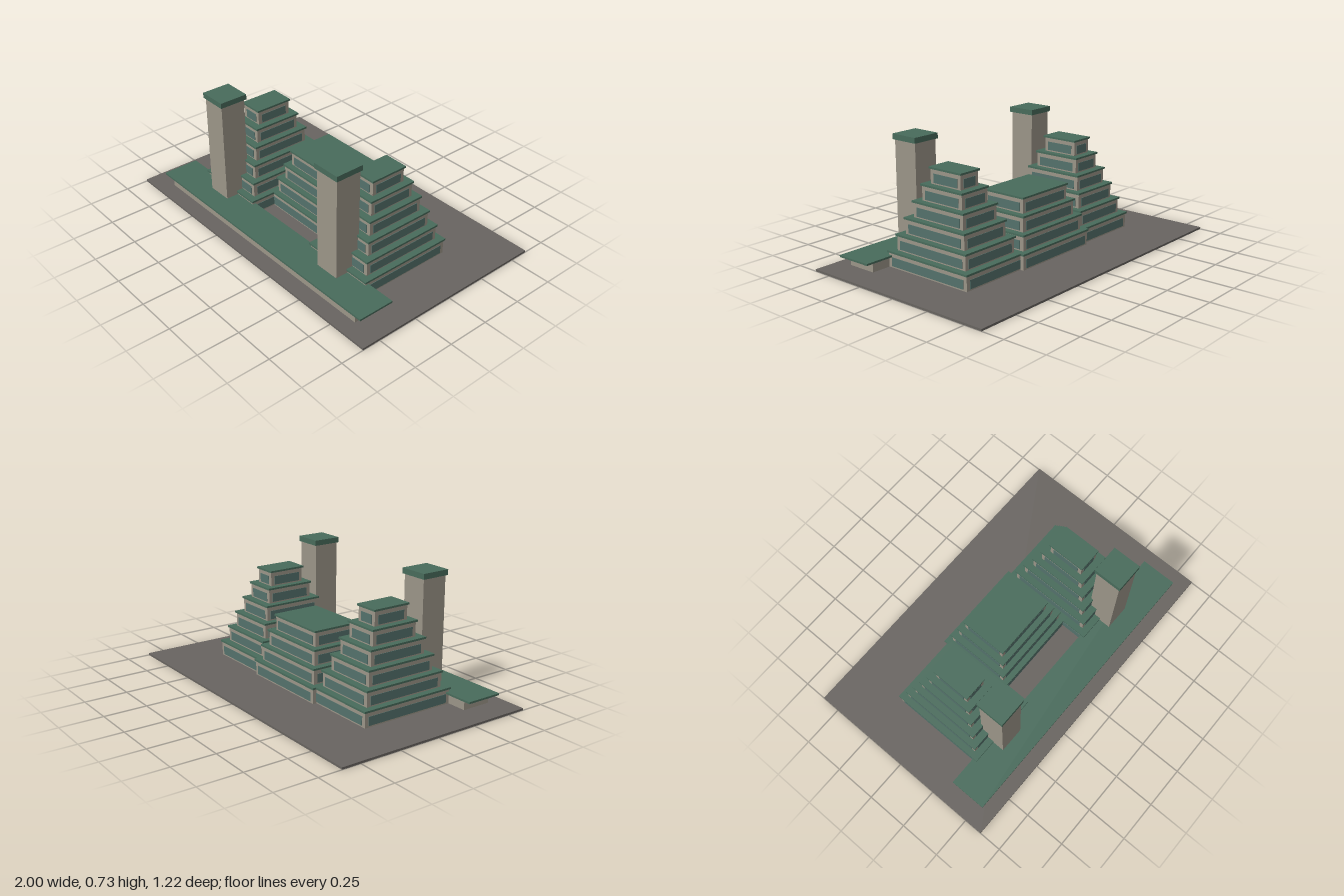
import * as THREE from 'three';

const material = (color) => new THREE.MeshStandardMaterial({ color, flatShading: true });

export function createModel() {
  const stone = material(0x9b9588);
  const green = material(0x486b5b);
  const glass = material(0x54716b);
  const paving = material(0x686460);

  // Box given by its centre in x and z, half sizes, and bottom and top heights
  function block(parent, name, mat, x, z, hx, hz, y0, y1) {
    const mesh = new THREE.Mesh(new THREE.BoxGeometry(hx * 2, y1 - y0, hz * 2), mat);
    mesh.position.set(x, (y0 + y1) / 2, z);
    mesh.name = name;
    parent.add(mesh);
  }

  const GROUND = 0.012, PITCH = 0.0945, ROOF = 0.01;
  const OVERHANG = 0.0075, INSET = 0.023, PROUD = 0.003;

  // Stepped terrace block: each storey has walls, a window band on four sides and a roof slab
  function terraces(name, levels, x, z, hx, hz, stepX, stepZ) {
    const group = new THREE.Group();
    group.name = name;
    for (let i = 0; i < levels; i++) {
      const rx = hx - i * stepX, rz = hz - i * stepZ;
      const wx = rx - OVERHANG, wz = rz - OVERHANG;
      const y = GROUND + i * PITCH, top = y + PITCH;
      block(group, 'storeyWalls', stone, x, z, wx, wz, y, top - ROOF + 0.001);
      block(group, 'frontBackWindows', glass, x, z, wx - INSET, wz + PROUD, y + 0.009, y + 0.06);
      block(group, 'sideWindows', glass, x, z, wx + PROUD, wz - INSET, y + 0.009, y + 0.06);
      block(group, 'roofSlab', green, x, z, rx, rz, top - ROOF, top + 0.001);
    }
    return group;
  }

  const model = new THREE.Group();
  model.name = 'terracedComplex';
  block(model, 'groundPlate', paving, 0, 0, 1, 0.612, 0, GROUND);

  // Low entrance gallery along the front
  block(model, 'galleryWalls', stone, 0, 0.425, 0.832, 0.09, GROUND, 0.072);
  block(model, 'galleryRoof', green, 0, 0.424, 0.892, 0.111, 0.071, 0.082);

  // Middle block, two taller wings, and a tower in front of each wing
  model.add(terraces('middleBlock', 4, 0, -0.046, 0.295, 0.23, 0.0315, 0.0278));
  for (const side of [1, -1]) {
    const label = side > 0 ? 'left' : 'right';
    model.add(terraces(label + 'Wing', 6, side * 0.489, 0.044, 0.23, 0.298, 0.031, 0.036));
    const tower = new THREE.Group();
    tower.name = label + 'Tower';
    block(tower, 'towerShaft', stone, side * 0.491, 0.334, 0.077, 0.078, GROUND, 0.695);
    block(tower, 'towerCap', green, side * 0.491, 0.334, 0.087, 0.087, 0.693, 0.725);
    model.add(tower);
  }
  return model;
}
